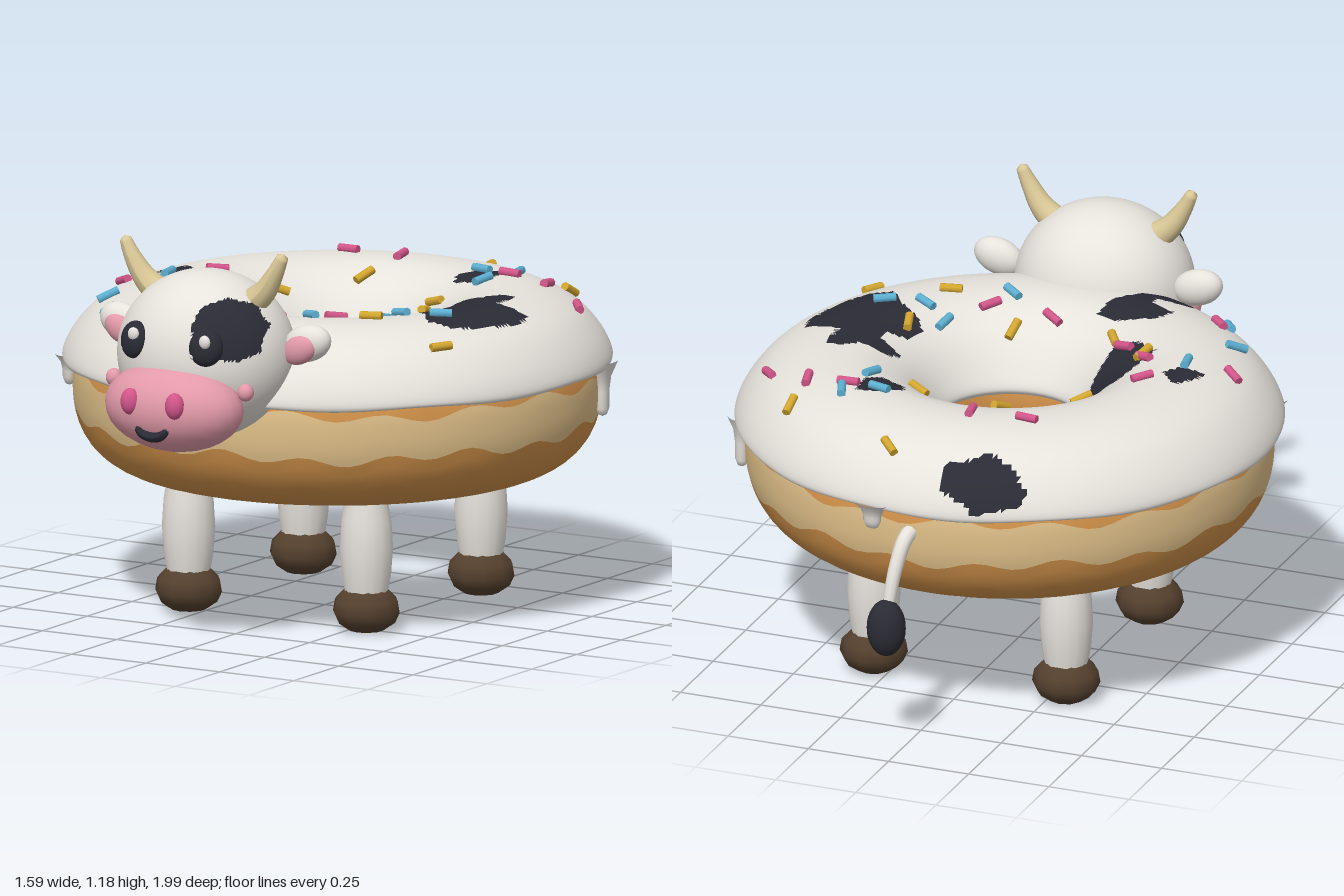
import * as THREE from 'three';

const M = {};
const colours = {
  cream: 0xe6e2dc, black: 0x2b2b35, dough: 0xd0914a, paleDough: 0xdfbf88, pink: 0xe39aaa,
  deepPink: 0xd4568a, horn: 0xd9c796, hoof: 0x54402e, blue: 0x5db0d2, yellow: 0xd4a72f,
};
for (const [name, c] of Object.entries(colours)) {
  M[name] = new THREE.MeshStandardMaterial({ color: c });
  M[name].name = name;
}

const RING_Z = -0.07; // centre of the ring body

function add(parent, name, geo, mat, pos = [0, 0, 0], rot = [0, 0, 0], scale = [1, 1, 1]) {
  const m = new THREE.Mesh(geo, mat);
  m.name = name;
  m.position.set(...pos);
  m.rotation.set(...rot);
  m.scale.set(...scale);
  parent.add(m);
  return m;
}

const ball = (parent, name, mat, pos, radii, rot) =>
  add(parent, name, new THREE.SphereGeometry(1, 24, 16), mat, pos, rot, radii);

// Surface swept around y; point(theta, v) gives [radius, y]. Cells where marked() is true use group 1.
function sweep(point, nu, nv, marked = () => false) {
  const pos = [], cells = [[], []];
  for (let j = 0; j <= nv; j++) for (let i = 0; i < nu; i++) {
    const t = (i / nu) * Math.PI * 2, [r, y] = point(t, j / nv);
    pos.push(r * Math.sin(t), y, r * Math.cos(t));
  }
  for (let j = 0; j < nv; j++) for (let i = 0; i < nu; i++) {
    const k = (i + 1) % nu;
    const a = j * nu + i, b = j * nu + k, c = b + nu, d = a + nu;
    for (const tri of [[a, b, c], [a, c, d]]) {
      const mid = [0, 1, 2].map(q => tri.reduce((s, n) => s + pos[n * 3 + q] / 3, 0));
      cells[marked(...mid) ? 1 : 0].push(...tri);
    }
  }
  const g = new THREE.BufferGeometry();
  g.setAttribute('position', new THREE.Float32BufferAttribute(pos, 3));
  g.setIndex([...cells[0], ...cells[1]]);
  g.addGroup(0, cells[0].length, 0);
  g.addGroup(cells[0].length, cells[1].length, 1);
  g.computeVertexNormals();
  return g;
}

function inside(poly, x, y) {
  let hit = false;
  for (let i = 0, j = poly.length - 1; i < poly.length; j = i++) {
    const [ax, ay] = poly[i], [bx, by] = poly[j];
    if ((ay > y) !== (by > y) && x < ((bx - ax) * (y - ay)) / (by - ay) + ax) hit = !hit;
  }
  return hit;
}

// Tube whose radius follows radius(t)
function taper(points, radius, seg, sides) {
  const curve = new THREE.CatmullRomCurve3(points.map(p => new THREE.Vector3(...p)));
  const g = new THREE.TubeGeometry(curve, seg, 1, sides), p = g.attributes.position;
  const v = new THREE.Vector3();
  for (let i = 0; i < p.count; i++) {
    const t = Math.floor(i / (sides + 1)) / seg, c = curve.getPointAt(t);
    v.fromBufferAttribute(p, i).sub(c).multiplyScalar(radius(t)).add(c);
    p.setXYZ(i, v.x, v.y, v.z);
  }
  g.computeVertexNormals();
  return g;
}

const lathe = (pts, sides) => new THREE.LatheGeometry(pts.map(p => new THREE.Vector2(...p)), sides);

// Icing cross-section, from the outer lip over the top to the hole
const icingCurve = new THREE.CatmullRomCurve3([
  [0.745, 0.735], [0.787, 0.718], [0.795, 0.73], [0.772, 0.79], [0.7, 0.87], [0.6, 0.915], [0.5, 0.928],
  [0.4, 0.915], [0.3, 0.86], [0.225, 0.77], [0.2, 0.72], [0.212, 0.7],
].map(([r, y]) => new THREE.Vector3(r, y, 0)));

// Cow patches, seen from above as x, z
const patches = [
  [[.46, -.21], [.52, -.21], [.52, -.1], [.64, -.08], [.65, 0], [.61, .13], [.56, .2], [.48, .22], [.42, .14],
    [.35, .09], [.32, .05], [.34, -.02], [.4, -.05], [.39, -.09], [.32, -.12], [.34, -.17], [.43, -.17]],
  [[.18, -.44], [.25, -.5], [.31, -.5], [.31, -.41], [.27, -.37], [.2, -.39]],
  [[-.33, -.06], [-.26, -.07], [-.19, -.05], [-.2, .08], [-.23, .17], [-.3, .17], [-.38, .11], [-.36, .03]],
  [[-.3, .31], [-.2, .28], [-.12, .3], [-.13, .4], [-.18, .47], [-.2, .58], [-.34, .58], [-.33, .49],
    [-.24, .47], [-.24, .42], [-.33, .38]],
  [[-.53, -.12], [-.47, -.05], [-.5, 0], [-.58, 0], [-.57, -.06]],
  [[-.32, -.79], [-.2, -.84], [-.09, -.83], [-.08, -.78], [-.15, -.75], [-.2, -.71], [-.28, -.73], [-.33, -.76]],
];
const facePatch = [[.07, .98], [.08, 1.03], [.13, 1.05], [.19, 1.03], [.235, .97], [.24, .9], [.2, .88],
  [.15, .885], [.12, .93], [.08, .95]];

// Sprinkles as x, z, turn in degrees
const sprinkles = {
  deepPink: [[-.24, -.53, -5], [-.07, -.54, 100], [.34, -.47, 0], [.47, -.46, 100], [.62, -.38, -45], [-.43, -.11, 45],
    [-.64, .06, -30], [-.37, .055, -30], [-.27, .15, -20], [.005, .275, -35], [.195, .26, 55], [-.455, .41, -45]],
  blue: [[.34, -.52, 110], [.24, -.48, -15], [.31, -.37, 75], [-.51, .03, 100], [-.57, .26, 40], [-.475, .435, -60],
    [.285, .125, 85], [.36, .17, -25], [.475, .14, 30], [.155, .335, -35]],
  yellow: [[.095, -.755, -50], [.475, -.575, 78], [-.105, -.395, 75], [.195, -.3, -10], [-.28, -.2, 25], [-.355, .085, 70],
    [-.22, .195, -60], [.365, .045, -70], [.105, .215, 90], [.325, .28, 15], [.58, .315, 60]],
};

function buildBody(root) {
  const body = new THREE.Group();
  body.name = 'ringBody';
  body.position.z = RING_Z;
  root.add(body);

  // Dough: baked shell plus a pale wavy band around the outside
  const pow = x => Math.sign(x) * Math.abs(x) ** 0.85;
  const dough = p => [0.485 + 0.28 * pow(Math.cos(p)), 0.65 + (Math.sin(p) > 0 ? 0.22 : 0.26) * pow(Math.sin(p))];
  const low = t => -0.27 + 0.05 * Math.sin(19 * t) + 0.03 * Math.sin(7 * t + 1);
  const high = t => 0.15 + 0.05 * Math.sin(17 * t + 2) + 0.03 * Math.sin(6 * t);
  add(body, 'doughBand', sweep((t, v) => dough(low(t) + v * (high(t) - low(t))), 128, 8), M.paleDough);
  add(body, 'dough', sweep((t, v) => dough(high(t) + v * (Math.PI * 2 + low(t) - high(t))), 128, 40), M.dough);

  // Icing with black patches
  const icing = sweep((t, v) => {
    const p = icingCurve.getPoint(v);
    return [p.x, p.y + (v < 0.25 ? 0.006 * Math.sin(9 * t) * (1 - v / 0.25) : 0)];
  }, 320, 64, (x, y, z) => y > 0.74 && patches.some(s => inside(s, x, z + RING_Z)));
  add(body, 'icing', icing, [M.cream, M.black]);

  // Drips under the outer lip: direction x, z and lowest y
  for (const [x, z, y] of [[0.72, -0.3, 0.57], [-0.7, 0.43, 0.64], [0.12, -0.78, 0.65]]) {
    const a = Math.atan2(x, z), h = 0.735 - y;
    const profile = [[0, 0], [0.018, 0.006], [0.028, 0.025], [0.028, h * 0.45], [0.036, h * 0.72], [0.065, h]];
    add(body, 'icingDrip', lathe(profile, 16), M.cream, [0.774 * Math.sin(a), y, 0.774 * Math.cos(a)],
      [0, a, 0], [1, 1, 0.7]);
  }

  // Sprinkles lying on the icing
  const samples = icingCurve.getPoints(300).slice(60, 270);
  const rod = new THREE.CylinderGeometry(0.013, 0.013, 0.065, 8);
  for (const [colour, list] of Object.entries(sprinkles)) for (const [x, wz, deg] of list) {
    const z = wz - RING_Z, r = Math.hypot(x, z);
    let k = 1;
    samples.forEach((p, i) => {
      if (i && i < samples.length - 1 && Math.abs(p.x - r) < Math.abs(samples[k].x - r)) k = i;
    });
    const T = samples[k + 1].clone().sub(samples[k - 1]).normalize();
    const n = new THREE.Vector3((T.y * x) / r, -T.x, (T.y * z) / r);
    const a = THREE.MathUtils.degToRad(deg);
    const dir = new THREE.Vector3(Math.cos(a), 0, -Math.sin(a)).projectOnPlane(n).normalize();
    const m = add(body, 'sprinkle', rod, M[colour]);
    m.position.set(x, samples[k].y, z).addScaledVector(n, 0.008);
    m.quaternion.setFromUnitVectors(new THREE.Vector3(0, 1, 0), dir);
  }
}

function buildHead(root) {
  const head = new THREE.Group();
  head.name = 'head';
  root.add(head);

  // Skull with an eye patch; squashed front to back afterwards
  const cy = 0.86, cz = 0.66;
  const skull = sweep((t, v) => {
    const p = (v - 0.5) * Math.PI;
    return [0.265 * Math.cos(p), cy + 0.245 * Math.sin(p)];
  }, 144, 88, (x, y, z) => z > 0 && inside(facePatch, x, y));
  add(head, 'skull', skull, [M.cream, M.black], [0, 0, cz], [0, 0, 0], [1, 1, 0.91]);

  // Muzzle and mouth
  ball(head, 'muzzle', M.pink, [0, 0.733, 0.84], [0.22, 0.132, 0.14]);
  const smile = [[-0.052, 0.688, 0.965], [-0.03, 0.668, 0.966], [0, 0.662, 0.966], [0.03, 0.668, 0.966], [0.052, 0.688, 0.965]];
  add(head, 'mouth', taper(smile, t => 0.004 + 0.011 * Math.sin(Math.PI * t) ** 0.3, 20, 8), M.black);

  for (const s of [-1, 1]) {
    ball(head, 'nostril', M.deepPink, [s * 0.075, 0.76, 0.963], [0.029, 0.039, 0.026]);
    ball(head, 'cheek', M.pink, [s * 0.222, 0.79, 0.81], [0.024, 0.026, 0.024]);
    // Eyes with two highlights each
    ball(head, 'eye', M.black, [s * 0.12, 0.92, 0.862], [0.05, 0.055, 0.035], [-0.2, s * 0.4, 0]);
    ball(head, 'eyeShine', M.cream, [s * 0.12 + 0.012, 0.942, 0.89], [0.018, 0.02, 0.012]);
    ball(head, 'eyeShineSmall', M.cream, [s * 0.12 - 0.029, 0.896, s > 0 ? 0.888 : 0.872], [0.009, 0.009, 0.01]);
    // Ears
    ball(head, 'ear', M.cream, [s * 0.31, 0.91, 0.61], [0.078, 0.054, 0.044], [0, 0, s * 0.3]);
    ball(head, 'innerEar', M.pink, [s * 0.3, 0.895, 0.636], [0.06, 0.042, 0.03], [0, 0, s * 0.5]);
    // Horns
    const path = [[s * 0.14, 1.01, 0.665], [s * 0.2, 1.06, 0.67], [s * 0.24, 1.12, 0.675], [s * 0.27, 1.18, 0.675]];
    add(head, 'horn', taper(path, t => (t > 0.99 ? 0 : 0.046 - 0.03 * t), 20, 12), M.horn);
  }
}

function buildLegsAndTail(root) {
  const leg = lathe([[0.06, 0.1], [0.072, 0.17], [0.078, 0.25], [0.073, 0.33], [0.062, 0.39], [0.058, 0.43]], 16);
  const hoof = lathe([[0, 0.003], [0.05, 0.006], [0.085, 0.03], [0.099, 0.06], [0.093, 0.095], [0.06, 0.13], [0, 0.14]], 10);
  for (const x of [-0.3, 0.3]) for (const z of [0.265, -0.375]) {
    add(root, 'leg', leg, M.cream, [x, 0, z]);
    add(root, 'hoof', hoof, M.hoof, [x, 0, z]);
  }
  const path = [[0, 0.66, -0.81], [0.008, 0.64, -0.855], [0.02, 0.56, -0.9], [0.03, 0.44, -0.935]];
  add(root, 'tail', taper(path, t => 0.024 - 0.006 * t, 16, 10), M.cream);
  ball(root, 'tailTuft', M.black, [0.03, 0.395, -0.943], [0.057, 0.086, 0.056]);
}

export function createModel() {
  const root = new THREE.Group();
  root.name = 'ringCow';
  buildBody(root);
  buildHead(root);
  buildLegsAndTail(root);
  return root;
}
